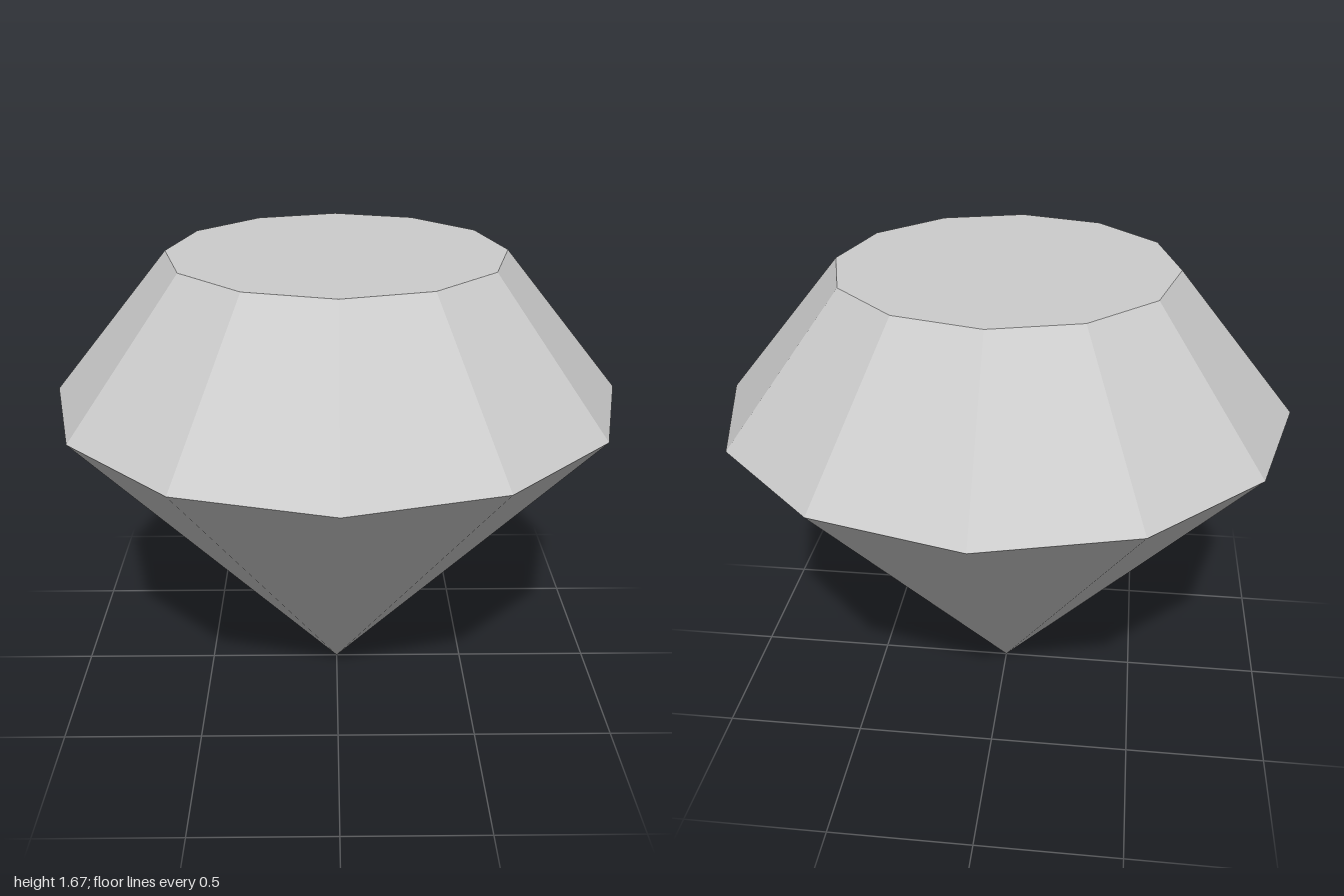
import * as THREE from 'three';

const SIDES = 12;
const GIRDLE_RADIUS = 1;
const TABLE_RADIUS = 0.585;
const GIRDLE_Y = 1.17;
const TOP_Y = 1.67;

export function createModel() {
  const gem = new THREE.Group();
  gem.name = 'gem';

  const stone = new THREE.MeshStandardMaterial({ color: 0xcccccc, flatShading: true });
  stone.name = 'grey stone';

  const add = (name, geometry, y) => {
    const mesh = new THREE.Mesh(geometry, stone);
    mesh.name = name;
    mesh.position.y = y;
    gem.add(mesh);
    return mesh;
  };

  // Open faceted ring between two radii, standing on y
  const facets = (name, top, bottom, y0, y1) =>
    add(name, new THREE.CylinderGeometry(top, bottom, y1 - y0, SIDES, 1, true), (y0 + y1) / 2);

  // Lower cone, tapering to a point
  facets('pavilion', GIRDLE_RADIUS, 0, 0, GIRDLE_Y);

  // Upper sloping facets
  facets('crown', TABLE_RADIUS, GIRDLE_RADIUS, GIRDLE_Y, TOP_Y);

  // Flat top face
  add('table', new THREE.CircleGeometry(TABLE_RADIUS, SIDES).rotateX(-Math.PI / 2), TOP_Y);

  return gem;
}
